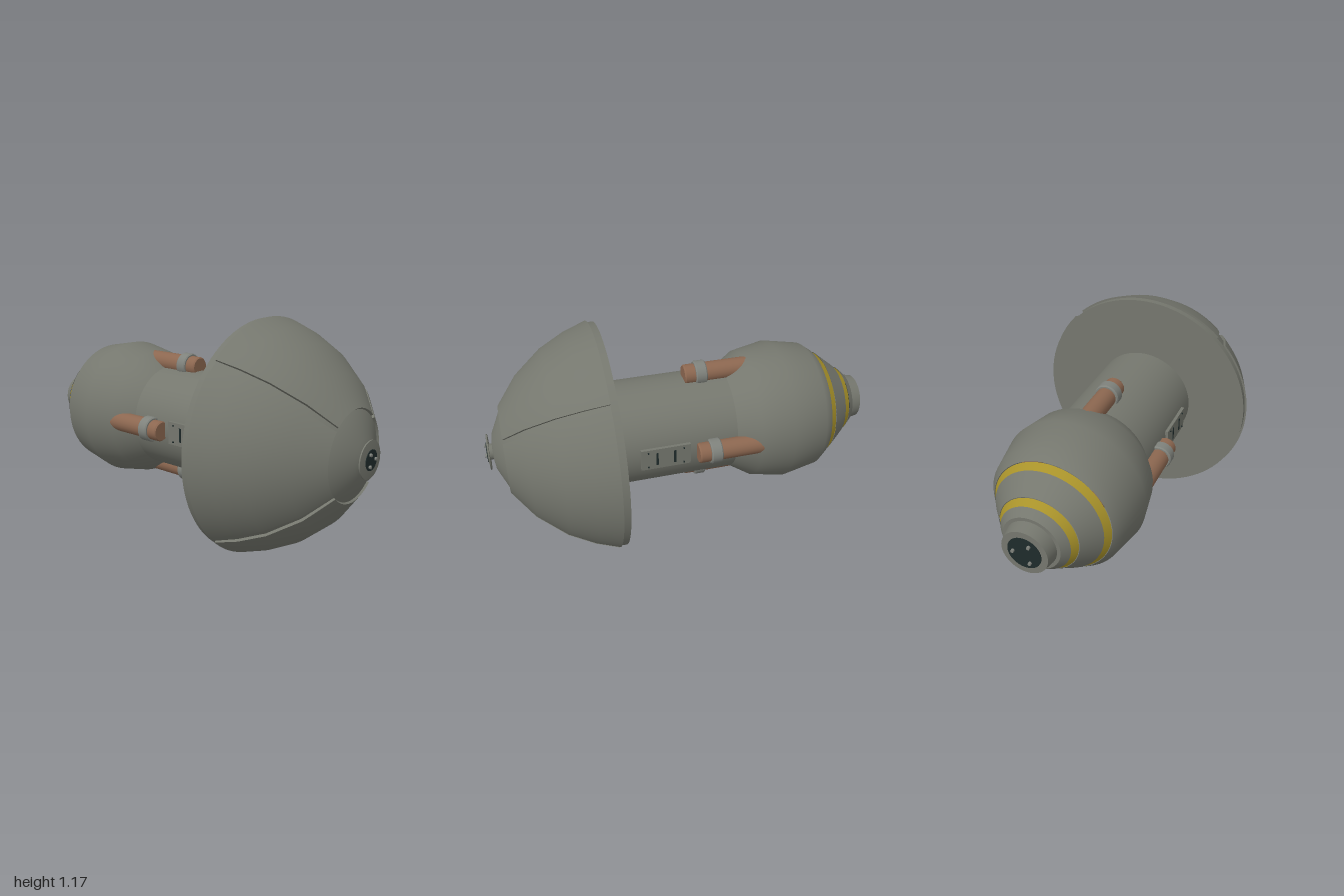
import * as THREE from 'three';
import { mergeGeometries } from 'three/addons/utils/BufferGeometryUtils.js';

const AXIS_Y = 0.583;
const paint = (name, color) => new THREE.MeshStandardMaterial({ name, color, side: THREE.DoubleSide });

export function createModel() {
  const hull = paint('hull grey', 0x75776e);
  const yellow = paint('band yellow', 0xa8922a);
  const copper = paint('pipe copper', 0x8c6750);
  const dark = paint('socket dark', 0x1f2b2b);
  const steel = paint('fitting grey', 0x7f827c);

  const root = new THREE.Group();
  root.name = 'device';
  // Everything is built around the long axis, at the height of the axis
  const body = new THREE.Group();
  body.name = 'body';
  body.position.y = AXIS_Y;
  root.add(body);

  const add = (name, geo, mat, parent = body) => {
    const mesh = new THREE.Mesh(geo, mat);
    mesh.name = name;
    parent.add(mesh);
    return mesh;
  };
  const points = (pairs) => pairs.map(([r, z]) => new THREE.Vector2(r, z));

  // Turned part along z; each strip of [radius, z] is smooth, edges between strips stay sharp
  const turned = (strips, segments = 64, start = 0, length = Math.PI * 2) =>
    mergeGeometries(strips.map((s) => new THREE.LatheGeometry(points(s), segments, start, length)))
      .rotateX(Math.PI / 2);
  const disc = (r, z0, z1, segments = 32) =>
    turned([[[0, z0], [r, z0]], [[r, z0], [r, z1]], [[r, z1], [0, z1]]], segments);

  // Front dome: recessed core with nose, under four raised panels
  add('domeCore', turned([
    [[0, 0.385], [0.575, 0.385]],
    [[0.575, 0.385], [0.573, 0.42]],
    [[0.573, 0.42], [0.53, 0.53], [0.463, 0.655], [0.347, 0.792], [0.213, 0.897], [0.09, 0.955], [0, 0.968]],
  ], 96), hull);

  const outer = [[0.583, 0.42], [0.542, 0.535], [0.475, 0.662], [0.358, 0.802], [0.22, 0.906]];
  const inner = [[0.21, 0.892], [0.34, 0.785], [0.455, 0.648], [0.522, 0.525], [0.56, 0.42]];
  const gap = 0.098;
  for (let i = 0; i < 4; i++) {
    const start = (i - 0.5) * Math.PI / 2 + gap / 2;
    const length = Math.PI / 2 - gap;
    const shell = turned([outer, [outer[4], inner[0]], inner, [inner[4], outer[0]]], 24, start, length);
    const ends = [start, start + length].map((phi) =>
      new THREE.ShapeGeometry(new THREE.Shape(points([...outer, ...inner])))
        .rotateY(phi - Math.PI / 2).rotateX(Math.PI / 2));
    add('domePanel', mergeGeometries([shell, ...ends]), hull);
  }

  // Shaft and bulging rear body
  add('shaft', turned([[[0.266, -0.26], [0.266, 0.39]]]), hull);
  add('rearBody', turned([
    [[0.298, -0.732], [0.332, -0.687], [0.366, -0.506], [0.335, -0.34], [0.268, -0.235], [0.26, -0.225]],
  ]), hull);
  add('rearBandLarge', turned([[[0.27, -0.766], [0.295, -0.732]]]), yellow);
  add('rearCone', turned([[[0.198, -0.857], [0.273, -0.766]]]), hull);
  add('rearBandSmall', turned([[[0.17, -0.89], [0.195, -0.857]]]), yellow);
  add('rearCollar', turned([
    [[0.11, -0.925], [0.141, -0.925]],
    [[0.141, -0.925], [0.173, -0.89]],
  ]), hull);
  add('rearNeck', turned([
    [[0, -0.985], [0.113, -0.985]],
    [[0.113, -0.985], [0.125, -0.92]],
  ]), hull);

  // Sockets with three pins at both ends
  add('nosePlate', turned([
    [[0.04, 0.955], [0.04, 0.978]],
    [[0, 0.978], [0.09, 0.978]],
    [[0.09, 0.978], [0.09, 0.984]],
    [[0.09, 0.984], [0.05, 0.988], [0, 0.988]],
  ], 32), hull);
  const socket = (name, side, r, faceZ) => {
    const z0 = side * faceZ;
    const z1 = side * (faceZ + 0.004);
    add(name, disc(r, Math.min(z0, z1), Math.max(z0, z1)), dark);
    for (let i = 0; i < 3; i++) {
      const a = i * Math.PI * 2 / 3;
      const pin = add(name + 'Pin', disc(0.008, -0.006, 0.006, 12), steel);
      pin.position.set(Math.cos(a) * r * 0.65, Math.sin(a) * r * 0.65, side * 0.994);
    }
  };
  socket('frontSocket', 1, 0.049, 0.987);
  socket('rearSocket', -1, 0.082, 0.984);

  // Four pipes running into the rear body, each with a clamp
  for (let i = 0; i < 4; i++) {
    const arm = new THREE.Group();
    arm.name = 'pipeAssembly';
    arm.rotation.z = i * Math.PI / 2;
    body.add(arm);
    const pipe = add('pipe', turned([
      [[0, -0.42], [0.051, -0.42]],
      [[0.051, -0.42], [0.051, -0.025]],
      [[0.051, -0.025], [0.046, -0.018]],
      [[0.046, -0.018], [0, -0.018]],
    ], 24), copper, arm);
    const clamp = add('pipeClamp', turned([
      [[0.045, -0.132], [0.058, -0.132]],
      [[0.058, -0.132], [0.063, -0.126]],
      [[0.063, -0.126], [0.063, -0.08]],
      [[0.063, -0.08], [0.058, -0.074]],
      [[0.058, -0.074], [0.045, -0.074]],
    ], 24), steel, arm);
    pipe.position.x = clamp.position.x = 0.286;
  }

  // Service plates on both sides of the shaft: two slots and corner screws
  for (const side of [1, -1]) {
    const plate = new THREE.Group();
    plate.name = side > 0 ? 'leftServicePlate' : 'rightServicePlate';
    plate.position.set(side * 0.27, 0, 0.143);
    body.add(plate);
    add('plate', new THREE.BoxGeometry(0.016, 0.115, 0.25), hull, plate);
    for (const dz of [-0.045, 0.045]) {
      add('slot', new THREE.BoxGeometry(0.006, 0.07, 0.011), dark, plate)
        .position.set(side * 0.008, 0, dz);
    }
    for (const dz of [-0.09, 0.09]) for (const dy of [-0.042, 0.042]) {
      const screw = add('screw', new THREE.CylinderGeometry(0.004, 0.004, 0.012, 8), dark, plate);
      screw.rotation.z = Math.PI / 2;
      screw.position.set(side * 0.008, dy, dz);
    }
  }
  return root;
}
